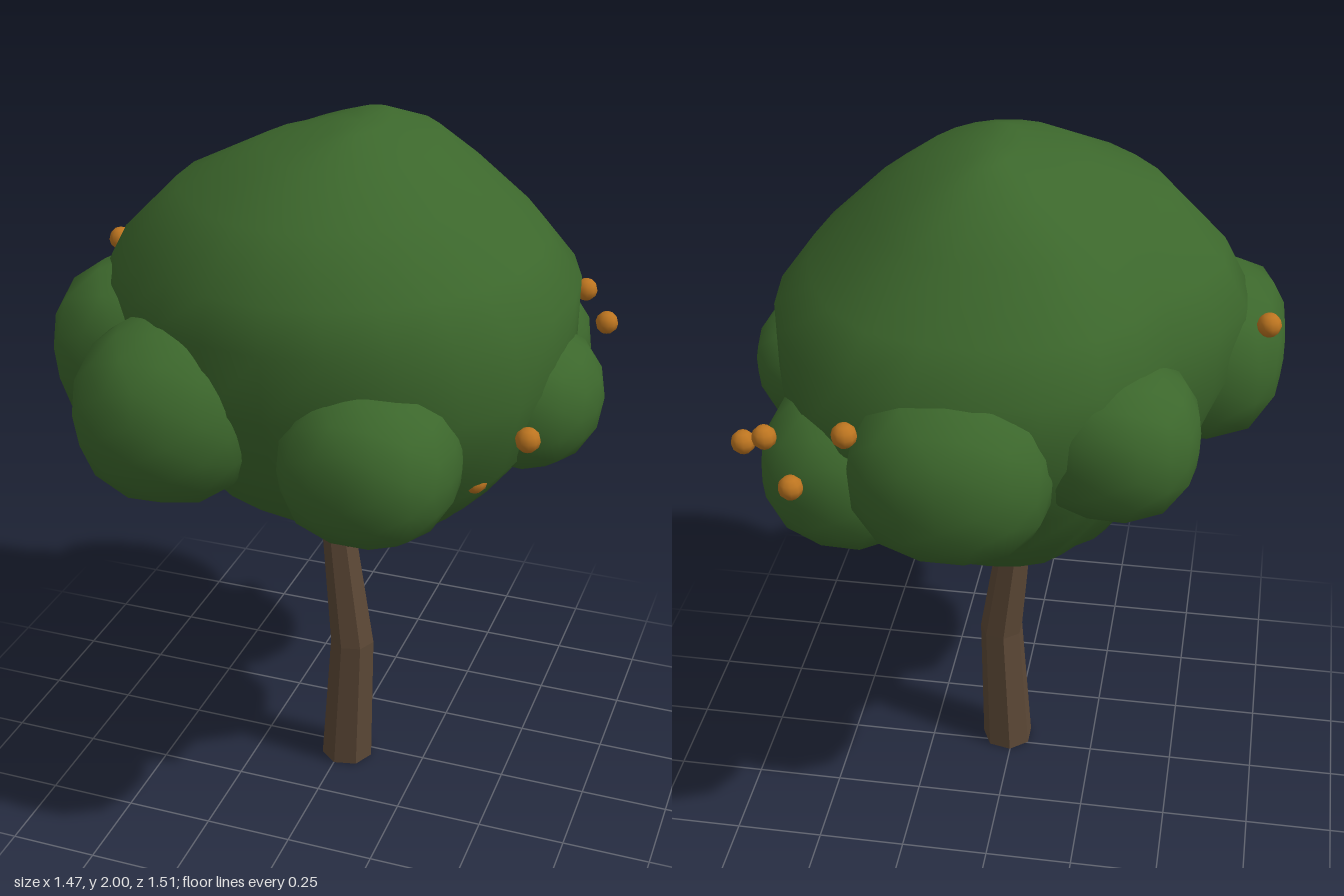
import * as THREE from 'three';
import { mergeVertices } from 'three/addons/utils/BufferGeometryUtils.js';

const leaf = new THREE.MeshStandardMaterial({ color: 0x3c672c });
leaf.name = 'leaf green';
const bark = new THREE.MeshStandardMaterial({ color: 0x5c4836 });
bark.name = 'bark brown';
const fruitSkin = new THREE.MeshStandardMaterial({ color: 0xbd7520 });
fruitSkin.name = 'fruit orange';

// Closed skin over horizontal rings given as [y, xMin, xMax, zMin, zMax]
function loft(rings, sides, scaleAt = () => 1) {
  const pos = [], index = [];
  const mid = (r) => [(r[1] + r[2]) / 2, r[0], (r[3] + r[4]) / 2];
  rings.forEach((r) => {
    const [cx, y, cz] = mid(r);
    for (let j = 0; j < sides; j++) {
      const a = (j / sides) * Math.PI * 2;
      const s = scaleAt(a, y);
      pos.push(cx + Math.cos(a) * s * (r[2] - r[1]) / 2, y, cz + Math.sin(a) * s * (r[4] - r[3]) / 2);
    }
  });
  const bottom = rings.length * sides, top = bottom + 1, last = bottom - sides;
  pos.push(...mid(rings[0]), ...mid(rings[rings.length - 1]));
  for (let j = 0; j < sides; j++) {
    const k = (j + 1) % sides;
    for (let i = 0; i < rings.length - 1; i++) {
      const a = i * sides + j, c = i * sides + k;
      index.push(a, a + sides, c, c, a + sides, c + sides);
    }
    index.push(bottom, j, k, top, last + k, last + j);
  }
  const g = new THREE.BufferGeometry();
  g.setAttribute('position', new THREE.Float32BufferAttribute(pos, 3));
  g.setIndex(index);
  g.computeVertexNormals();
  return g;
}

// Flat-faced tapering limb through [x, y, z, radius] points
function limb(points, sides) {
  const rings = points.map(([x, y, z, r]) => [y, x - r, x + r, z - r, z + r]);
  const g = loft(rings, sides).toNonIndexed();
  g.computeVertexNormals();
  return g;
}

// Smooth ball of leaves; a higher power makes it boxier
function leafClump(seed, power, rx, ry, rz) {
  let g = new THREE.IcosahedronGeometry(1, 2);
  g.deleteAttribute('normal');
  g.deleteAttribute('uv');
  g = mergeVertices(g, 1e-4);
  const p = g.attributes.position, v = new THREE.Vector3();
  for (let i = 0; i < p.count; i++) {
    v.fromBufferAttribute(p, i);
    const sum = Math.abs(v.x) ** power + Math.abs(v.y) ** power + Math.abs(v.z) ** power;
    const s = sum ** (-1 / power) + 0.02 * Math.sin(v.x * 4 + seed * 2.1) * Math.cos(v.z * 4 - seed);
    p.setXYZ(i, v.x * s * rx, v.y * s * ry, v.z * s * rz);
  }
  g.computeVertexNormals();
  return g;
}

export function createModel() {
  const tree = new THREE.Group();
  tree.name = 'fruitTree';
  const add = (name, geometry, material, x = 0, y = 0, z = 0) => {
    const m = new THREE.Mesh(geometry, material);
    m.name = name;
    m.position.set(x, y, z);
    tree.add(m);
  };

  // Bent trunk and the forks that vanish into the crown
  add('trunk', limb([[0.018, 0, 0.037, 0.077], [0.038, 0.42, 0.047, 0.065], [-0.006, 0.78, 0.04, 0.05], [-0.02, 0.95, 0.03, 0.038]], 7), bark);
  [[0.14, 0.95, 0.18], [-0.11, 0.93, 0.03], [0.1, 0.95, -0.07]].forEach(([x, y, z], i) => {
    add('branch' + (i + 1), limb([[0.01, 0.74, 0.04, 0.036], [x, y, z, 0.028]], 6), bark);
  });

  // Main crown: hollow at the back on one side, fuller at the opposite side
  const rings = [
    [0.81, -0.14, 0.1, -0.06, 0.06],
    [0.87, -0.28, 0.32, -0.26, 0.2],
    [1.03, -0.41, 0.45, -0.42, 0.44],
    [1.2, -0.54, 0.56, -0.53, 0.57],
    [1.4, -0.62, 0.635, -0.62, 0.645],
    [1.58, -0.63, 0.64, -0.6, 0.645],
    [1.7, -0.56, 0.55, -0.52, 0.62],
    [1.85, -0.41, 0.39, -0.38, 0.51],
    [1.95, -0.2, 0.26, -0.25, 0.33],
    [2.0, -0.02, 0.12, -0.12, 0.18],
  ];
  const hill = (a, centre, width) => Math.exp(-(((a - centre) / width) ** 2));
  const shape = (a, y) => 1 - 0.15 * hill(a, 3.72, 0.36) + 0.065 * hill(a, 5.3, 0.4)
    + 0.025 * hill(a, 2.9, 0.25) - 0.02 * hill(a, 2.35, 0.3)
    + 0.12 * hill(a, 0.6, 0.42) * hill(y, 1.22, 0.24);
  add('crown', loft(rings, 24, shape), leaf);

  // Smaller clumps around the crown: boxiness, x, y, z, then radii
  [
    [2.2, -0.3, 1.34, 0.505, 0.25, 0.25, 0.25],
    [2.4, 0.25, 1.285, 0.53, 0.23, 0.205, 0.22],
    [2.8, -0.49, 1.375, 0.19, 0.25, 0.235, 0.265],
    [2.3, 0.52, 1.315, 0.07, 0.215, 0.19, 0.215],
    [2.4, 0.37, 1.255, -0.37, 0.235, 0.205, 0.245],
    [2.4, 0.07, 1.36, -0.53, 0.26, 0.23, 0.23],
    [2.5, -0.32, 1.39, -0.36, 0.22, 0.2, 0.22],
  ].forEach(([power, x, y, z, ...r], i) => add('leafClump' + (i + 1), leafClump(i, power, ...r), leaf, x, y, z));

  // Fruit
  const fruit = new THREE.SphereGeometry(0.033, 10, 6);
  [
    [0.31, 1.515, -0.66], [0.47, 1.315, -0.61], [0.56, 1.395, -0.51], [0.64, 1.33, -0.44],
    [0.615, 1.335, 0.378], [-0.69, 1.565, -0.03], [0.47, 1.17, 0.33],
  ].forEach((p, i) => add('fruit' + (i + 1), fruit, fruitSkin, ...p));

  return tree;
}
